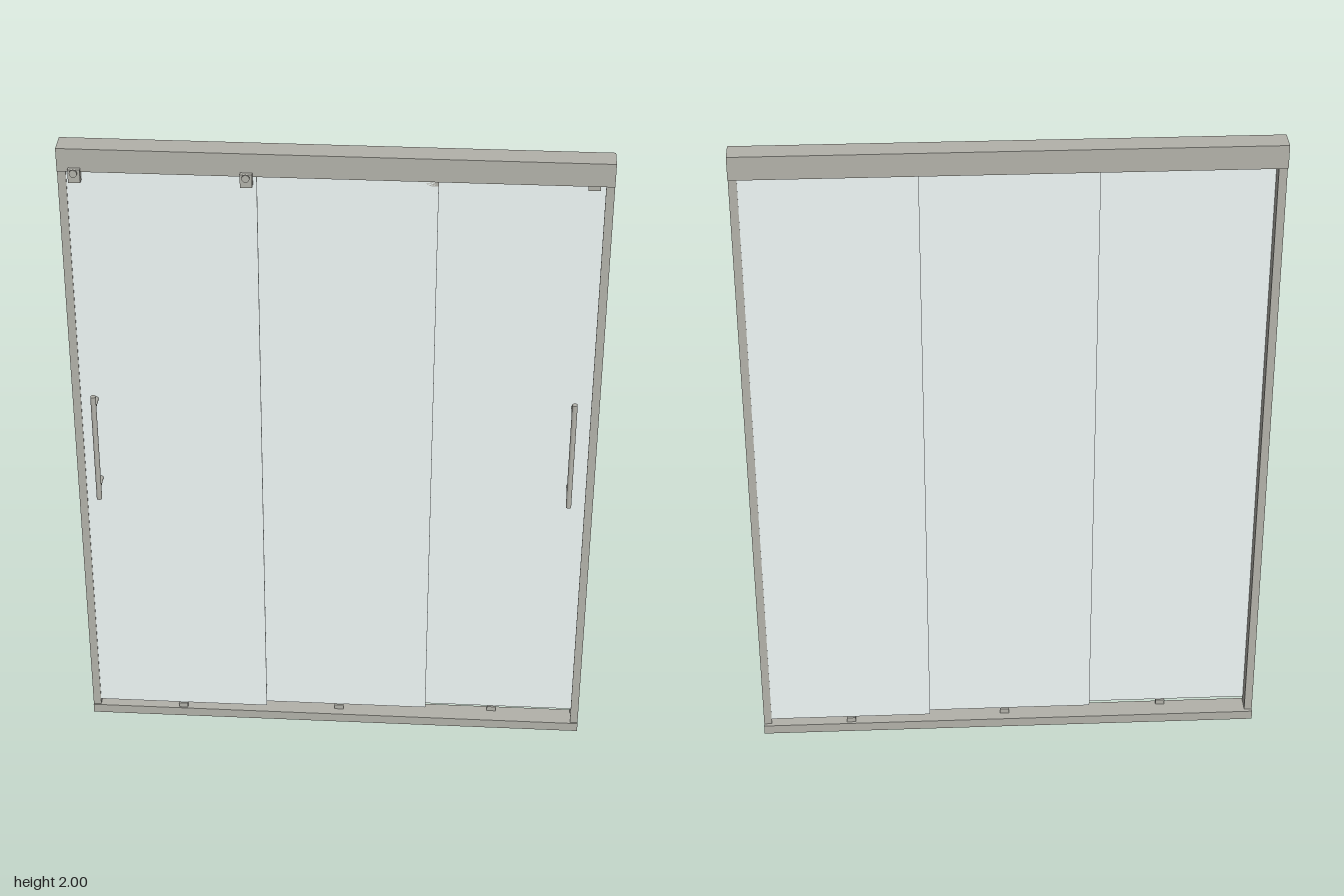
import * as THREE from 'three';

export function createModel() {
  const root = new THREE.Group();
  root.name = 'slidingDoor';
  const metal = new THREE.MeshStandardMaterial({ color: 0xb3b2aa });
  const glass = new THREE.MeshStandardMaterial({ color: 0xf0f8f7 });

  // Box given by its minimum and maximum corners
  function box(name, min, max, material = metal, parent = root) {
    const size = max.map((v, i) => v - min[i]);
    const mesh = new THREE.Mesh(new THREE.BoxGeometry(...size), material);
    mesh.position.set(...max.map((v, i) => (v + min[i]) / 2));
    mesh.name = name;
    parent.add(mesh);
  }

  // Cylinder centred at a point, upright or along z
  function rod(name, r, length, pos, alongZ, parent) {
    const geo = new THREE.CylinderGeometry(r, r, length, 32);
    if (alongZ) geo.rotateX(Math.PI / 2);
    const mesh = new THREE.Mesh(geo, metal);
    mesh.position.set(...pos);
    mesh.name = name;
    parent.add(mesh);
  }

  // Frame: header and sill
  const W = 0.769;
  box('header', [-W, 1.93, -0.062], [W, 2, 0.008]);
  box('sill', [-W, 0, -0.06], [W, 0.03, 0.008]);

  // Jambs: upright channels, both opening towards -x
  const channel = new THREE.Shape([
    [0, -0.003], [0.024, -0.003], [0.024, 0.049], [0, 0.049],
    [0, 0.044], [0.019, 0.044], [0.019, 0.002], [0, 0.002],
  ].map(([x, y]) => new THREE.Vector2(x, y)));
  const jambGeo = new THREE.ExtrudeGeometry(channel, { depth: 1.905, bevelEnabled: false });
  jambGeo.rotateX(-Math.PI / 2);
  for (const x of [-W, W - 0.024]) {
    const jamb = new THREE.Mesh(jambGeo, metal);
    jamb.position.set(x, 0.028, 0);
    jamb.name = 'jamb';
    root.add(jamb);
  }

  // Hanger: clamp block on the glass with a round cap
  function hanger(x, z, parent) {
    const g = new THREE.Group();
    g.name = 'hanger';
    box('clamp', [-0.017, -0.018, 0], [0.017, 0.022, 0.021], metal, g);
    rod('pin', 0.007, 0.009, [0, 0.016, 0.025], true, g);
    rod('cap', 0.011, 0.005, [0, 0.016, 0.031], true, g);
    g.position.set(x, 1.92, z);
    parent.add(g);
  }

  // Handle: upright bar on two standoffs
  function handle(x, z, parent) {
    const g = new THREE.Group();
    g.name = 'handle';
    rod('bar', 0.008, 0.36, [0, 0, 0.052], false, g);
    for (const y of [-0.14, 0.14]) rod('standoff', 0.007, 0.05, [0, y, 0.025], true, g);
    g.position.set(x, 1.043, z);
    parent.add(g);
  }

  // Three overlapping glass panels, each on its own track
  const panels = [
    { name: 'leftPanel', x0: -0.745, x1: -0.215, z: 0, hangers: [-0.72, -0.243], handleX: -0.7, guide: -0.481 },
    { name: 'middlePanel', x0: -0.255, x1: 0.287, z: -0.021, hangers: [], guide: 0.013 },
    { name: 'rightPanel', x0: 0.248, x1: 0.75, z: -0.042, hangers: [0.27, 0.715], handleX: 0.697, guide: 0.496 },
  ];
  for (const p of panels) {
    const g = new THREE.Group();
    g.name = p.name;
    root.add(g);
    box('glass', [p.x0, 0.048, p.z - 0.006], [p.x1, 1.935, p.z], glass, g);
    for (const x of p.hangers) hanger(x, p.z, g);
    if (p.handleX) handle(p.handleX, p.z, g);
    // Floor guide under the panel
    box('guide', [p.guide - 0.014, 0.028, p.z - 0.01], [p.guide + 0.014, 0.046, p.z + 0.003], metal, g);
  }
  return root;
}
